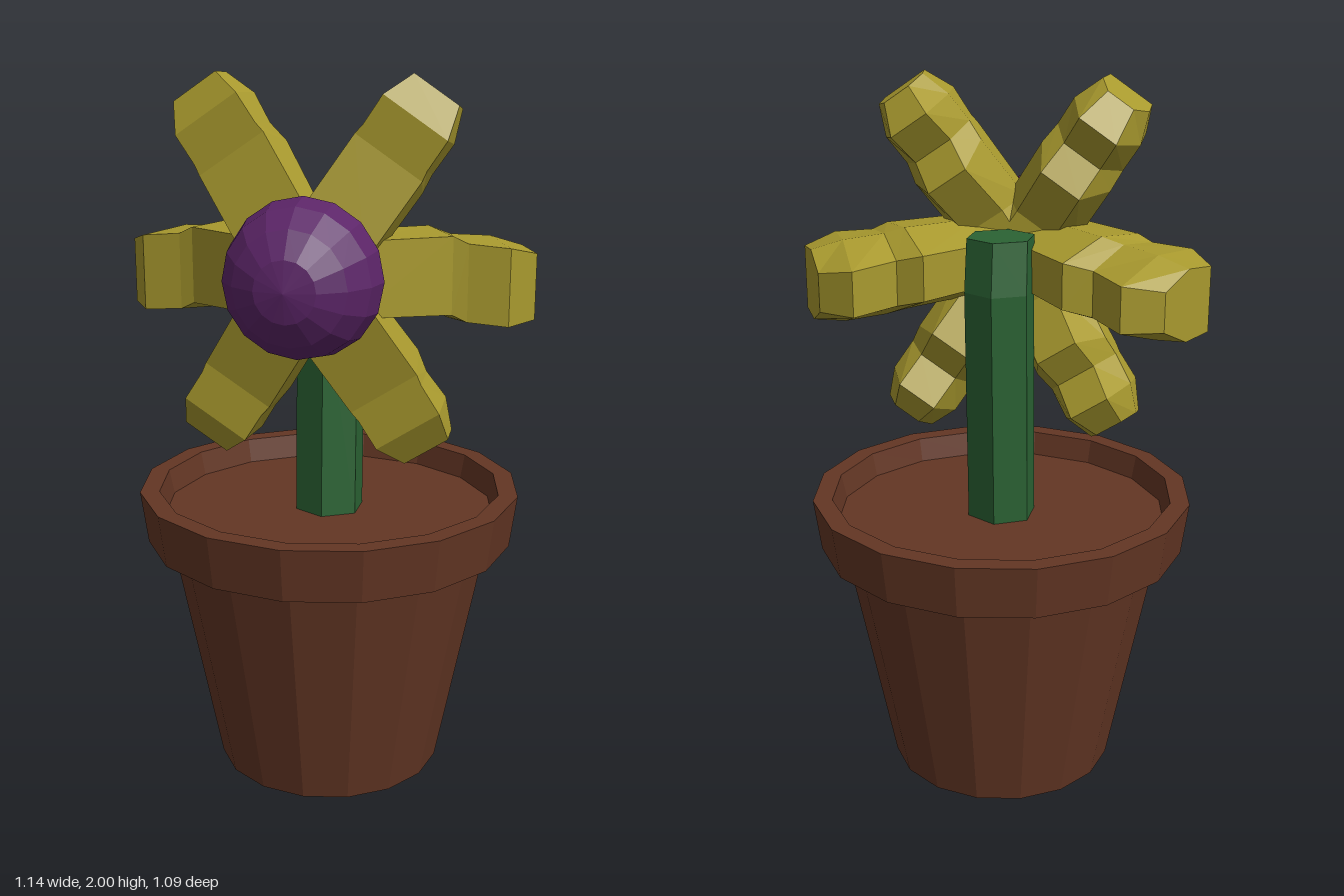
import * as THREE from 'three';

const material = (name, color) => {
  const m = new THREE.MeshStandardMaterial({ color });
  m.name = name;
  return m;
};

// Gives every face its own normal for the low-poly look
function facetedMesh(name, geometry, mat) {
  const g = geometry.index ? geometry.toNonIndexed() : geometry;
  g.computeVertexNormals();
  const mesh = new THREE.Mesh(g, mat);
  mesh.name = name;
  return mesh;
}

// Skins rings of points (counter-clockwise seen from the end) and caps the end
function loft(rings) {
  const n = rings[0].length;
  const index = [];
  for (let i = 0; i < rings.length - 1; i++) {
    for (let j = 0; j < n; j++) {
      const a = i * n + j, b = i * n + (j + 1) % n;
      index.push(a, b, a + n, b, b + n, a + n);
    }
  }
  const last = (rings.length - 1) * n;
  for (let j = 1; j < n - 1; j++) index.push(last, last + j, last + j + 1);
  const g = new THREE.BufferGeometry().setFromPoints(rings.flat());
  g.setIndex(index);
  return g;
}

const lathe = (points, sides) =>
  new THREE.LatheGeometry(points.map(([r, y]) => new THREE.Vector2(r, y)), sides);

const CENTER_Y = 1.49;

// Petal stations: front radius, front z, back radius, back z, half width, drop in y
const DIAGONAL = [
  [0, 0.285, 0, 0.1, 0.105, 0],
  [0.13, 0.285, 0.13, 0.1, 0.105, 0],
  [0.37, 0.23, 0.28, 0.015, 0.105, 0],
  [0.4, 0.23, 0.37, 0.06, 0.1, 0],
  [0.49, 0.23, 0.46, 0.0, 0.1, 0],
  [0.57, 0.18, 0.55, 0.06, 0.07, 0],
];
const SIDE = [
  [0, 0.285, 0, 0.06, 0.1, 0],
  [0.13, 0.285, 0.08, 0, 0.1, 0],
  [0.36, 0.11, 0.19, -0.115, 0.105, -0.01],
  [0.4, 0.1, 0.27, -0.1, 0.105, -0.03],
  [0.51, 0.09, 0.36, -0.21, 0.105, -0.04],
  [0.57, 0, 0.47, -0.17, 0.09, -0.05],
];
// Petal cross-section: share of half width, position from front (0) to back (1)
const SECTION = [[0.6, 1], [1.1, 0.5], [1, 0], [-1, 0], [-1.1, 0.5], [-0.6, 1]];

function petal(stations, degrees) {
  const a = THREE.MathUtils.degToRad(degrees);
  const c = Math.cos(a), s = Math.sin(a);
  return loft(stations.map(([rf, zf, rb, zb, half, drop]) => SECTION.map(([w, t]) => {
    const r = THREE.MathUtils.lerp(rf, rb, t);
    const u = w * half;
    return new THREE.Vector3(c * r - s * u, CENTER_Y + s * r + c * u + drop, THREE.MathUtils.lerp(zf, zb, t));
  })));
}

export function createModel() {
  const model = new THREE.Group();
  model.name = 'pottedFlower';
  const clay = material('brown clay', 0x633624);
  const green = material('stem green', 0x2b6334);
  const yellow = material('petal yellow', 0xa8992e);
  const purple = material('centre purple', 0x5c2568);

  // Pot with its overhanging rim
  model.add(facetedMesh('pot', lathe([
    [0, 0], [0.325, 0], [0.46, 0.69], [0.525, 0.69], [0.545, 0.84], [0.49, 0.84], [0.475, 0.77],
  ], 16), clay));
  model.add(facetedMesh('soil', lathe([[0.475, 0.77], [0, 0.77]], 16), clay));

  // Six-sided stem with a slight kink near the top
  const stemRings = [[0.76, 0, 0.1], [1.44, -0.028, 0.1], [1.585, -0.01, 0.097]].map(([y, z, r]) =>
    Array.from({ length: 6 }, (_, i) => {
      const a = i * Math.PI / 3;
      return new THREE.Vector3(r * Math.sin(a), y, z + r * Math.cos(a));
    }));
  model.add(facetedMesh('stem', loft(stemRings), green));

  // Flower head
  const flower = new THREE.Group();
  flower.name = 'flower';
  for (const angle of [0, 180]) flower.add(facetedMesh('sidePetal', petal(SIDE, angle), yellow));
  for (const angle of [56, 124]) flower.add(facetedMesh('upperPetal', petal(DIAGONAL, angle), yellow));
  for (const angle of [237, 303]) flower.add(facetedMesh('lowerPetal', petal(DIAGONAL, angle), yellow));

  // Domed centre and its flat back
  const dome = new THREE.SphereGeometry(0.212, 16, 4, 0, Math.PI * 2, 0, Math.PI / 2);
  dome.rotateX(Math.PI / 2).translate(0, CENTER_Y, 0.286);
  flower.add(facetedMesh('flowerCentre', dome, purple));
  const back = new THREE.CircleGeometry(0.212, 16);
  back.rotateY(Math.PI).translate(0, CENTER_Y, 0.286);
  flower.add(facetedMesh('flowerCentreBack', back, purple));
  model.add(flower);

  return model;
}
